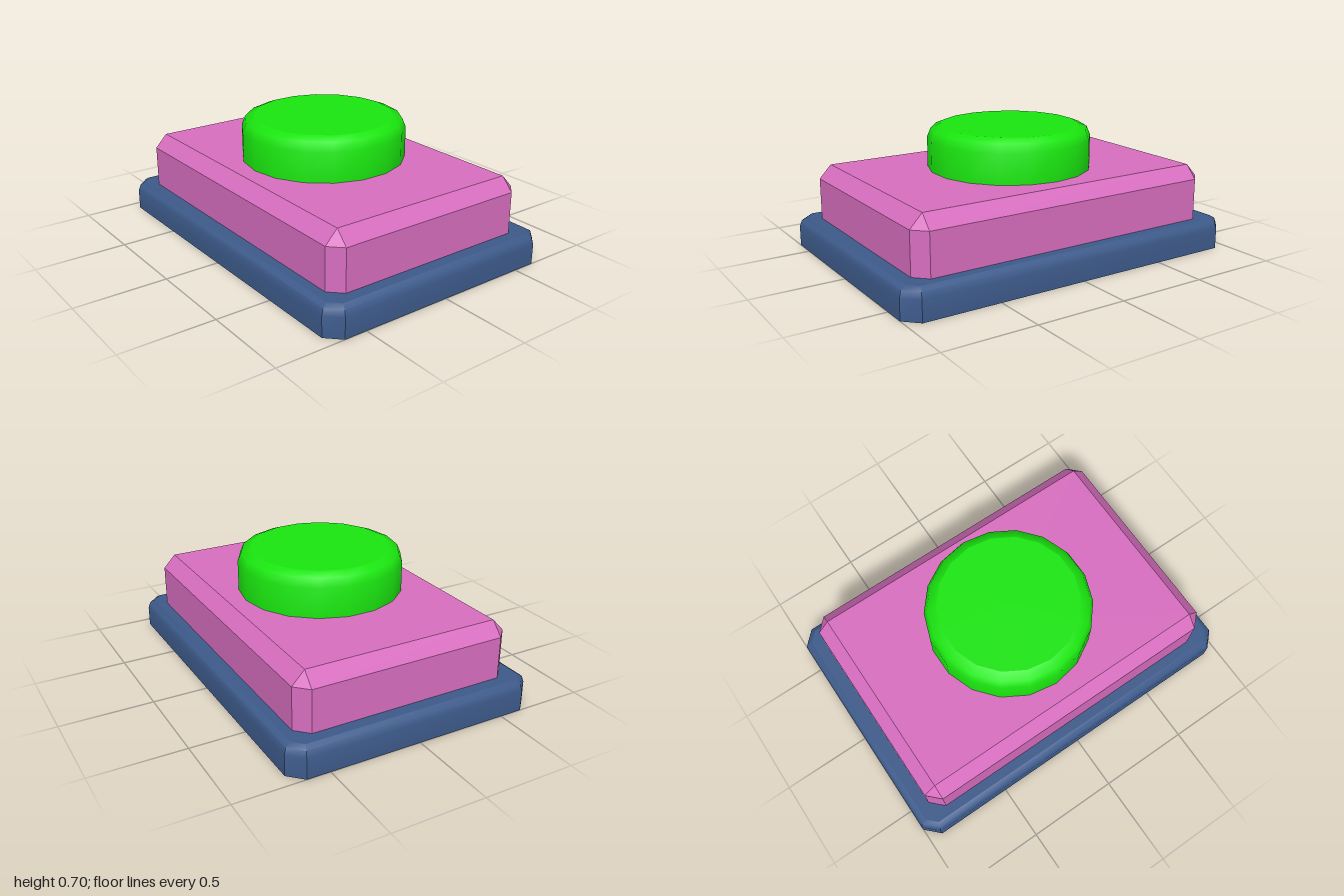
import * as THREE from 'three';
import { mergeGeometries, toCreasedNormals } from 'three/addons/utils/BufferGeometryUtils.js';

// Rectangle outline with cut corners, counter-clockwise seen from above
function cutRectangle(hx, hz, cut, y) {
  const points = [];
  for (const [sx, sz] of [[1, 1], [1, -1], [-1, -1], [-1, 1]]) {
    const alongX = new THREE.Vector3(sx * (hx - cut), y, sz * hz);
    const alongZ = new THREE.Vector3(sx * hx, y, sz * (hz - cut));
    points.push(...(sx * sz > 0 ? [alongX, alongZ] : [alongZ, alongX]));
  }
  return points;
}

// Regular polygon outline with a corner on +z
function polygon(radius, sides, y) {
  return Array.from({ length: sides }, (_, i) => {
    const a = (i / sides) * Math.PI * 2;
    return new THREE.Vector3(radius * Math.sin(a), y, radius * Math.cos(a));
  });
}

function fromTriangles(triangles) {
  const solid = triangles.filter((t) => new THREE.Triangle(...t).getArea() > 1e-8);
  const geometry = new THREE.BufferGeometry().setFromPoints(solid.flat());
  geometry.computeVertexNormals();
  return geometry;
}

// Skin a stack of rings from bottom to top and close both ends with flat caps
function loft(rings, crease) {
  const n = rings[0].length;
  const walls = [];
  const caps = [];
  const bottom = rings[0];
  const top = rings[rings.length - 1];
  const bottomCentre = new THREE.Vector3(0, bottom[0].y, 0);
  const topCentre = new THREE.Vector3(0, top[0].y, 0);
  for (let i = 0; i < n; i++) {
    const j = (i + 1) % n;
    for (let r = 0; r < rings.length - 1; r++) {
      const low = rings[r];
      const high = rings[r + 1];
      walls.push([low[i], low[j], high[j]], [low[i], high[j], high[i]]);
    }
    caps.push([bottomCentre, bottom[j], bottom[i]], [topCentre, top[i], top[j]]);
  }
  return mergeGeometries([toCreasedNormals(fromTriangles(walls), crease), fromTriangles(caps)]);
}

function part(name, geometry, color, flatShading = false) {
  const mesh = new THREE.Mesh(geometry, new THREE.MeshStandardMaterial({ color, flatShading }));
  mesh.name = name;
  return mesh;
}

export function createModel() {
  const model = new THREE.Group();
  model.name = 'pushButton';

  // Base plate: softly rounded upper edge, cut corners
  const baseProfile = [[0, 0], [0, 0.112], [0.011, 0.146], [0.038, 0.163]];
  const baseRings = baseProfile.map(([inset, y]) =>
    cutRectangle(1 - inset, 0.7 - inset, 0.075 - 0.586 * inset, y));
  model.add(part('basePlate', loft(baseRings, 0.74), 0x3d5a8a));

  // Housing: straight chamfers meeting in a plain rectangular top
  const chamfer = 0.068;
  const housingRings = [
    cutRectangle(0.898, 0.61, chamfer, 0.163),
    cutRectangle(0.898, 0.61, chamfer, 0.393),
    cutRectangle(0.898 - chamfer, 0.61 - chamfer, 0, 0.465),
  ];
  model.add(part('housing', loft(housingRings, 0.1), 0xd86ec0, true));

  // Round button: 18 sides with a rounded rim
  const buttonProfile = [[0.45, 0.465], [0.45, 0.63], [0.43, 0.678], [0.38, 0.698]];
  const buttonRings = buttonProfile.map(([radius, y]) => polygon(radius, 18, y));
  model.add(part('button', loft(buttonRings, 0.95), 0x1ae60f));

  return model;
}
